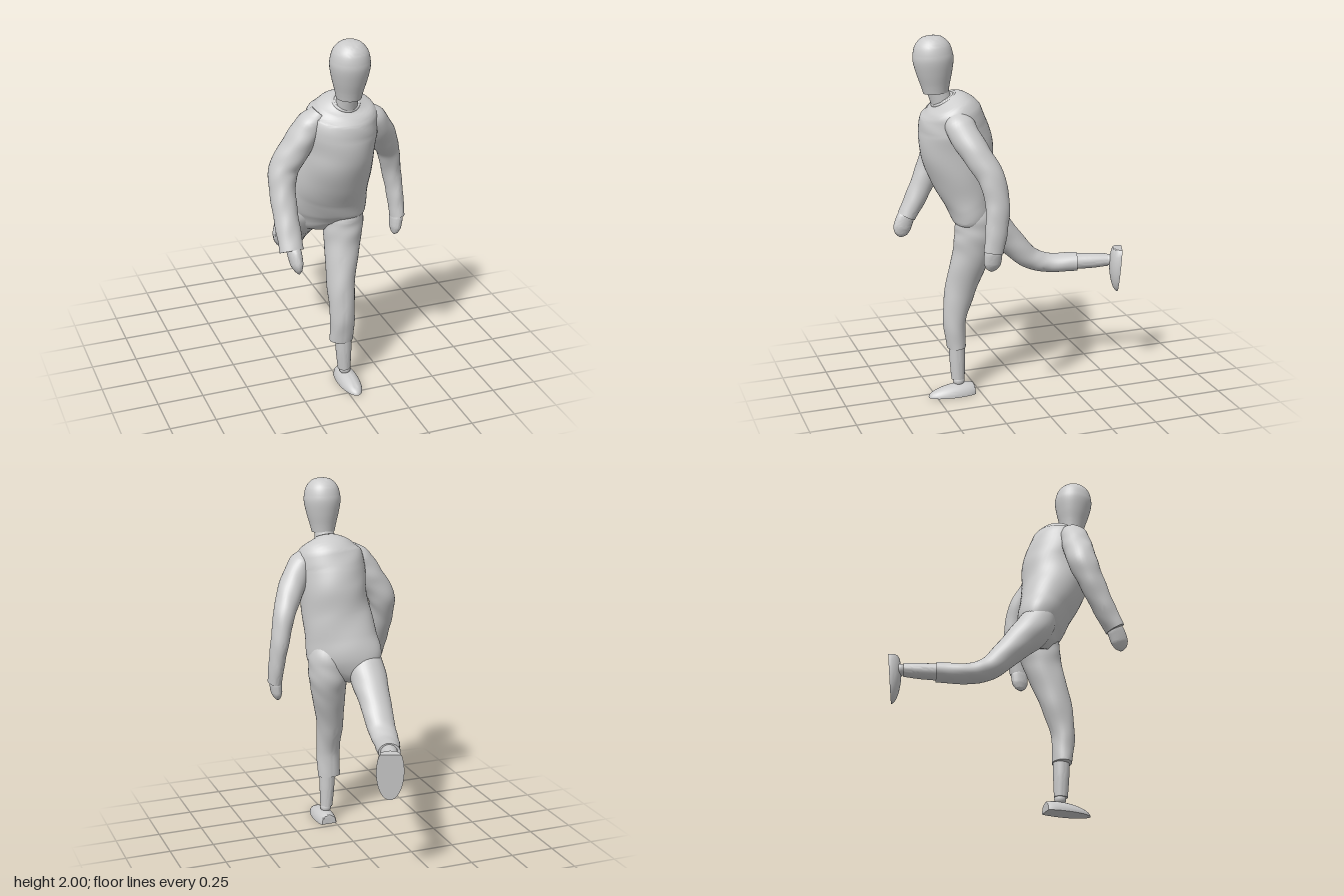
import * as THREE from 'three';
import { toCreasedNormals } from 'three/addons/utils/BufferGeometryUtils.js';

const material = new THREE.MeshStandardMaterial({ color: 0xcccccc });

function part(name, geometry, parent) {
  const mesh = new THREE.Mesh(geometry, material);
  mesh.name = name;
  parent.add(mesh);
  return mesh;
}

// Smooth limb through rings [x, y, z, halfWidth, halfDepth, twist], with flat capped ends
// and an optional amount of soft cloth folds.
function loft(rings, { steps = 8, sides = 32, fold = 0 } = {}) {
  const path = new THREE.CatmullRomCurve3(rings.map(r => new THREE.Vector3(r[0], r[1], r[2])));
  const size = new THREE.CatmullRomCurve3(rings.map(r => new THREE.Vector3(r[3], r[4], r[5] ?? 0)));
  const rows = (rings.length - 1) * steps;
  const pos = [], index = [];
  for (let i = 0; i <= rows; i++) {
    const t = i / rows;
    const c = path.getPoint(t), s = size.getPoint(t), dir = path.getTangent(t);
    const u = new THREE.Vector3(1, 0, 0).addScaledVector(dir, -dir.x).normalize();
    u.applyAxisAngle(dir, -s.z);
    const v = new THREE.Vector3().crossVectors(dir, u);
    for (let j = 0; j < sides; j++) {
      const a = (j / sides) * Math.PI * 2;
      const k = 1 + fold * Math.sin(t * 38 + 2.5 * Math.sin(a + 1)) * Math.sin(2 * a + t * 5);
      const p = c.clone()
        .addScaledVector(u, Math.cos(a) * s.x * k)
        .addScaledVector(v, Math.sin(a) * s.y * k);
      pos.push(p.x, p.y, p.z);
    }
  }
  for (let i = 0; i < rows; i++) {
    for (let j = 0; j < sides; j++) {
      const n = (j + 1) % sides;
      const a = i * sides + j, b = i * sides + n, c = b + sides, d = a + sides;
      index.push(a, b, c, a, c, d);
    }
  }
  for (const end of [0, 1]) {
    const c = path.getPoint(end), centre = pos.length / 3;
    pos.push(c.x, c.y, c.z);
    for (let j = 0; j < sides; j++) {
      const a = end * rows * sides + j, b = end * rows * sides + (j + 1) % sides;
      index.push(centre, end ? a : b, end ? b : a);
    }
  }
  const g = new THREE.BufferGeometry();
  g.setAttribute('position', new THREE.Float32BufferAttribute(pos, 3));
  g.setIndex(index);
  return toCreasedNormals(g, 0.8);
}

// Flat-soled shoe pointing along +z with a cut-off heel and a slightly lower toe
function shoe(halfWidth) {
  const g = new THREE.SphereGeometry(1, 32, 24);
  const p = g.attributes.position;
  for (let i = 0; i < p.count; i++) {
    const z = Math.max(p.getZ(i), -0.62);
    p.setXYZ(i, p.getX(i) * halfWidth, Math.max(p.getY(i), 0) * (0.062 - 0.012 * z), z * 0.16 - 0.03);
  }
  return toCreasedNormals(g, 0.7);
}

export function createModel() {
  const model = new THREE.Group();
  model.name = 'runningMannequin';

  // Egg-shaped head with a flat chin, leaning forward
  const profile = new THREE.SplineCurve([
    [0.064, 0], [0.073, 0.04], [0.089, 0.1], [0.101, 0.16], [0.101, 0.2],
    [0.088, 0.25], [0.058, 0.285], [0.03, 0.296], [0, 0.3],
  ].map(p => new THREE.Vector2(...p))).getPoints(40);
  profile[40].x = 0;
  const head = part('head', new THREE.LatheGeometry([new THREE.Vector2(0, 0), ...profile], 40), model);
  head.geometry = toCreasedNormals(head.geometry, 0.8);
  head.scale.z = 1.04;
  head.rotation.x = 0.07;
  head.position.set(0, 1.7, 0.46);

  part('neck', loft([[0, 1.6, 0.42, 0.056, 0.056], [0, 1.66, 0.435, 0.055, 0.056],
    [0, 1.72, 0.455, 0.053, 0.055]]), model);
  const collar = part('collar', new THREE.TorusGeometry(0.066, 0.009, 10, 36), model);
  collar.position.set(0, 1.663, 0.42);
  collar.rotation.x = Math.PI / 2 + 0.5;

  // Suit body: square shoulders, hips turned so the right one trails behind
  part('suitTorso', loft([
    [-0.02, 0.9, 0.235, 0.07, 0.05, 0.5], [-0.033, 0.945, 0.23, 0.165, 0.09, 0.5],
    [-0.037, 1.01, 0.233, 0.208, 0.122, 0.5], [-0.033, 1.12, 0.265, 0.203, 0.145, 0.42],
    [-0.023, 1.25, 0.315, 0.193, 0.173, 0.28], [-0.012, 1.4, 0.35, 0.187, 0.195, 0.1],
    [-0.01, 1.52, 0.37, 0.192, 0.18], [0, 1.6, 0.382, 0.18, 0.157],
    [0, 1.645, 0.394, 0.135, 0.115], [0, 1.678, 0.408, 0.065, 0.065],
  ], { sides: 48, fold: 0.012 }), model);

  // Arms: one swung forward, one swung back
  const rightArm = new THREE.Group();
  rightArm.name = 'rightArm';
  part('rightSleeve', loft([
    [-0.135, 1.615, 0.39, 0.035, 0.055], [-0.185, 1.55, 0.388, 0.068, 0.08],
    [-0.25, 1.44, 0.38, 0.075, 0.085], [-0.318, 1.32, 0.375, 0.076, 0.08],
    [-0.336, 1.2, 0.415, 0.066, 0.07], [-0.336, 1.06, 0.48, 0.064, 0.06],
    [-0.335, 0.94, 0.545, 0.063, 0.05],
  ], { fold: 0.025 }), rightArm);
  part('rightHand', loft([
    [-0.33, 0.97, 0.53, 0.03, 0.035], [-0.325, 0.93, 0.555, 0.036, 0.05],
    [-0.32, 0.88, 0.575, 0.032, 0.05], [-0.315, 0.845, 0.585, 0.018, 0.035],
    [-0.313, 0.828, 0.59, 0.004, 0.008],
  ]), rightArm);

  const leftArm = new THREE.Group();
  leftArm.name = 'leftArm';
  part('leftSleeve', loft([
    [0.115, 1.6, 0.385, 0.04, 0.055], [0.165, 1.54, 0.38, 0.067, 0.08],
    [0.24, 1.42, 0.325, 0.073, 0.075], [0.303, 1.3, 0.262, 0.06, 0.07],
    [0.337, 1.16, 0.238, 0.05, 0.064], [0.355, 1.03, 0.25, 0.043, 0.06],
    [0.363, 0.91, 0.27, 0.038, 0.052],
  ], { fold: 0.025 }), leftArm);
  part('leftHand', loft([
    [0.36, 0.94, 0.265, 0.028, 0.035], [0.357, 0.9, 0.27, 0.034, 0.048],
    [0.352, 0.85, 0.273, 0.03, 0.046], [0.347, 0.818, 0.275, 0.017, 0.03],
    [0.345, 0.803, 0.276, 0.004, 0.007],
  ]), leftArm);
  model.add(rightArm, leftArm);

  // Standing leg
  const leftLeg = new THREE.Group();
  leftLeg.name = 'leftLeg';
  part('leftTrouser', loft([
    [0.05, 1.12, 0.275, 0.085, 0.09], [0.053, 1.01, 0.262, 0.108, 0.115],
    [0.05, 0.92, 0.265, 0.107, 0.117], [0.037, 0.8, 0.29, 0.095, 0.102],
    [0.01, 0.6, 0.345, 0.075, 0.085], [0.008, 0.42, 0.38, 0.068, 0.062],
    [0.007, 0.27, 0.37, 0.066, 0.051],
  ], { fold: 0.02 }), leftLeg);
  part('leftShin', loft([[0.018, 0.33, 0.372, 0.046, 0.045], [0.02, 0.2, 0.37, 0.043, 0.043],
    [0.025, 0.085, 0.368, 0.035, 0.037]]), leftLeg);
  part('leftAnkle', new THREE.SphereGeometry(0.032, 20, 14), leftLeg).position.set(0.03, 0.075, 0.366);
  const leftFoot = part('leftFoot', shoe(0.06), leftLeg);
  leftFoot.position.set(0.04, 0, 0.413);

  // Trailing leg, bent at the knee with the sole turned backward
  const rightLeg = new THREE.Group();
  rightLeg.name = 'rightLeg';
  part('rightTrouser', loft([
    [-0.125, 1.08, 0.23, 0.085, 0.07], [-0.138, 0.96, 0.153, 0.105, 0.1],
    [-0.138, 0.82, 0.025, 0.09, 0.079], [-0.128, 0.69, -0.105, 0.078, 0.062],
    [-0.112, 0.652, -0.21, 0.07, 0.053], [-0.06, 0.657, -0.37, 0.06, 0.052],
  ], { fold: 0.02 }), rightLeg);
  part('rightShin', loft([[-0.07, 0.657, -0.33, 0.048, 0.045], [-0.035, 0.66, -0.45, 0.043, 0.042],
    [-0.01, 0.663, -0.535, 0.036, 0.035]]), rightLeg);
  part('rightAnkle', new THREE.SphereGeometry(0.032, 20, 14), rightLeg).position.set(-0.003, 0.664, -0.548);
  const rightFoot = part('rightFoot', shoe(0.073), rightLeg);
  rightFoot.position.set(0.03, 0.61, -0.594);
  rightFoot.rotation.set(Math.PI / 2 - 0.08, -0.34, 0, 'YXZ');
  model.add(leftLeg, rightLeg);

  return model;
}
